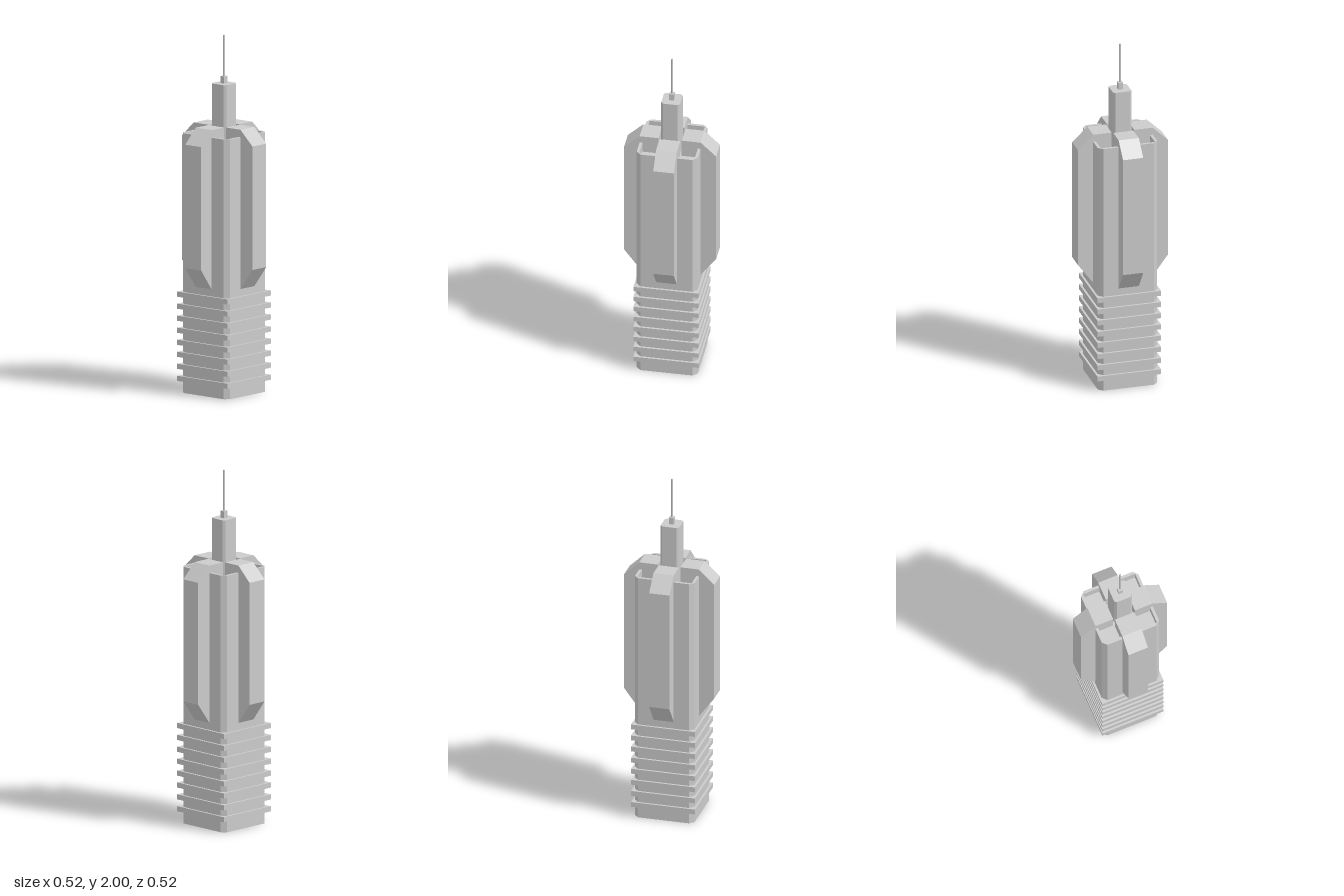
import * as THREE from 'three';

const material = new THREE.MeshStandardMaterial({ color: 0xcccccc, flatShading: true });

// Square outline of half-width h with corners cut by c
function chamferedSquare(h, c) {
  const k = h - c;
  return new THREE.Shape([
    [k, -h], [h, -k], [h, k], [k, h], [-k, h], [-h, k], [-h, -k], [-k, -h],
  ].map(([x, y]) => new THREE.Vector2(x, y)));
}

// Extrude a plan shape upwards between two heights
function prism(shape, y0, y1) {
  return new THREE.ExtrudeGeometry(shape, { depth: y1 - y0, bevelEnabled: false })
    .rotateX(-Math.PI / 2).translate(0, y0, 0);
}

export function createModel() {
  const model = new THREE.Group();
  model.name = 'towerWithAntenna';
  const add = (name, geometry) => {
    const mesh = new THREE.Mesh(geometry, material);
    mesh.name = name;
    model.add(mesh);
    return mesh;
  };
  const block = (name, half, y0, y1) =>
    add(name, new THREE.BoxGeometry(half * 2, y1 - y0, half * 2).translate(0, (y0 + y1) / 2, 0));

  // Shaft with a parapet around the sunken roof
  const roofY = 1.395;
  add('shaft', prism(chamferedSquare(0.171, 0.025), 0, roofY));
  const rim = chamferedSquare(0.171, 0.025);
  const i = 0.155;
  rim.holes.push(new THREE.Path([[-i, -i], [-i, i], [i, i], [i, -i]].map(([x, y]) => new THREE.Vector2(x, y))));
  add('parapet', prism(rim, roofY, 1.455));

  // Ledges around the lower shaft
  for (let n = 0; n < 8; n++) {
    const y = 0.079 + n * 0.0674;
    block('ledge' + (n + 1), 0.183, y - 0.0145, y + 0.0145);
  }

  // Four buttresses, one on each side
  const profile = new THREE.Shape([
    [0.065, 0.605], [0.171, 0.605], [0.258, 0.722], [0.258, 1.414], [0.171, 1.497], [0.065, 1.497],
  ].map(([x, y]) => new THREE.Vector2(x, y)));
  const width = 0.116;
  const finGeometry = new THREE.ExtrudeGeometry(profile, { depth: width, bevelEnabled: false })
    .translate(0, 0, -width / 2);
  ['leftButtress', 'backButtress', 'rightButtress', 'frontButtress'].forEach((name, n) => {
    add(name, finGeometry).rotation.y = n * Math.PI / 2;
  });

  // Roof turret, antenna socket and antenna
  add('turret', prism(chamferedSquare(0.053, 0.012), roofY, 1.73));
  block('antennaSocket', 0.0135, 1.73, 1.77);
  add('antenna', new THREE.CylinderGeometry(0.005, 0.005, 0.23, 8).translate(0, 1.885, 0));

  return model;
}
